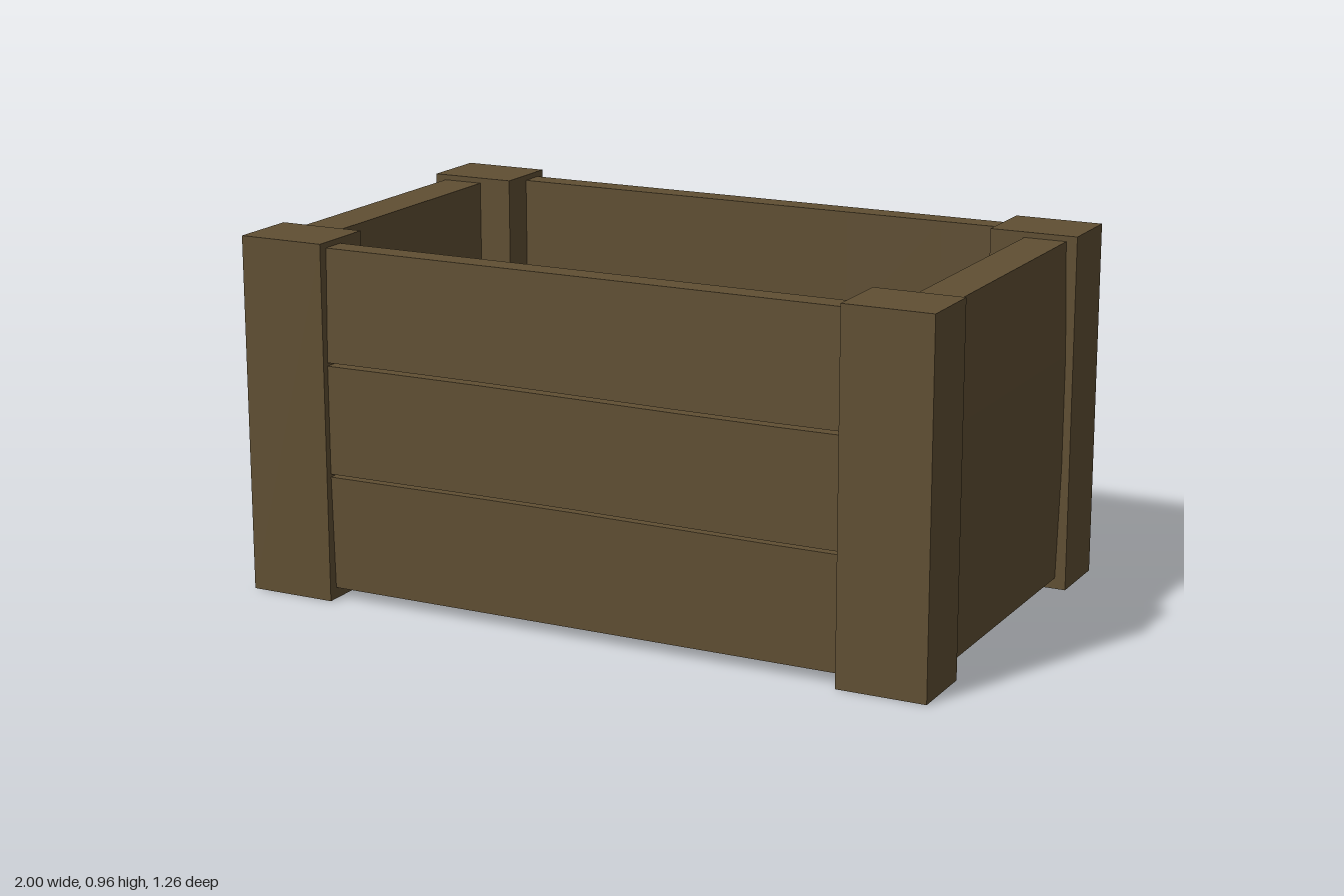
import * as THREE from 'three';

export function createModel() {
  const model = new THREE.Group();
  model.name = 'woodenCrate';
  const crate = new THREE.Group();
  crate.name = 'crateBody';
  crate.rotation.y = -0.052; // crate stands slightly turned
  model.add(crate);

  const wood = new THREE.MeshStandardMaterial({ color: 0x604f33, flatShading: true });
  wood.name = 'agedWood';

  // Box given by its minimum and maximum corners
  function slab(name, [x0, y0, z0], [x1, y1, z1], sx = 1, sy = 1, sz = 1) {
    const g = new THREE.BoxGeometry(x1 - x0, y1 - y0, z1 - z0, sx, sy, sz);
    g.translate((x0 + x1) / 2, (y0 + y1) / 2, (z0 + z1) / 2);
    const mesh = new THREE.Mesh(g, wood);
    mesh.name = name;
    crate.add(mesh);
    return mesh;
  }

  // Uneven sawn edges along the gaps, and an outer face that bows out at mid height
  function weather(mesh, along, across, outer, phase) {
    const p = mesh.geometry.attributes.position;
    for (let i = 0; i < p.count; i++) {
      const y = p.getY(i);
      if (y < 0.1 || y > 0.9) continue;
      const t = p.getComponent(i, along);
      const w = p.getComponent(i, across);
      p.setY(i, y + 0.002 * Math.sin(t * 4 + phase + y * 3));
      if (Math.abs(w - outer) < 0.001) {
        p.setComponent(i, across, w + Math.sign(outer) * 0.01 * Math.sin(Math.PI * y));
      }
    }
    mesh.geometry.computeVertexNormals();
  }

  // Corner posts
  for (const sx of [-1, 1]) {
    for (const sz of [-1, 1]) {
      const x = [sx * 0.971, sx * 0.73].sort((a, b) => a - b);
      const z = [sz * 0.58, sz * 0.388].sort((a, b) => a - b);
      slab('cornerPost', [x[0], 0, z[0]], [x[1], 0.965, z[1]]);
    }
  }

  for (const s of [-1, 1]) {
    // Gap heights differ a little between opposite walls
    const d = s * 0.004;
    const rows = [[0.03, 0.335 + d], [0.343 + d, 0.634 + d], [0.643 + d, 0.95]];
    rows.forEach(([y0, y1], i) => {
      // Long side planks
      const z = s > 0 ? [0.485, 0.552] : [-0.552, -0.485];
      weather(slab('sidePlank', [-0.83, y0, z[0]], [0.83, y1, z[1]], 6, 1, 1), 0, 2, s * 0.552, s);
      // Inner planks of the short ends
      const x = s > 0 ? [0.825, 0.9] : [-0.9, -0.825];
      weather(slab('endPlank', [x[0], y0, -0.5], [x[1], y1, 0.5], 1, 1, 4), 2, 0, s * 0.9, i + s);
    });
    // Closed outer panel of the short ends
    const x = s > 0 ? [0.9, 0.941] : [-0.941, -0.9];
    weather(slab('endPanel', [x[0], 0.03, -0.5], [x[1], 0.95, 0.5], 1, 3, 1), 2, 0, s * 0.941, s);
  }

  // Raised floor
  slab('floor', [-0.83, 0.12, -0.49], [0.83, 0.18, 0.49]);

  return model;
}
